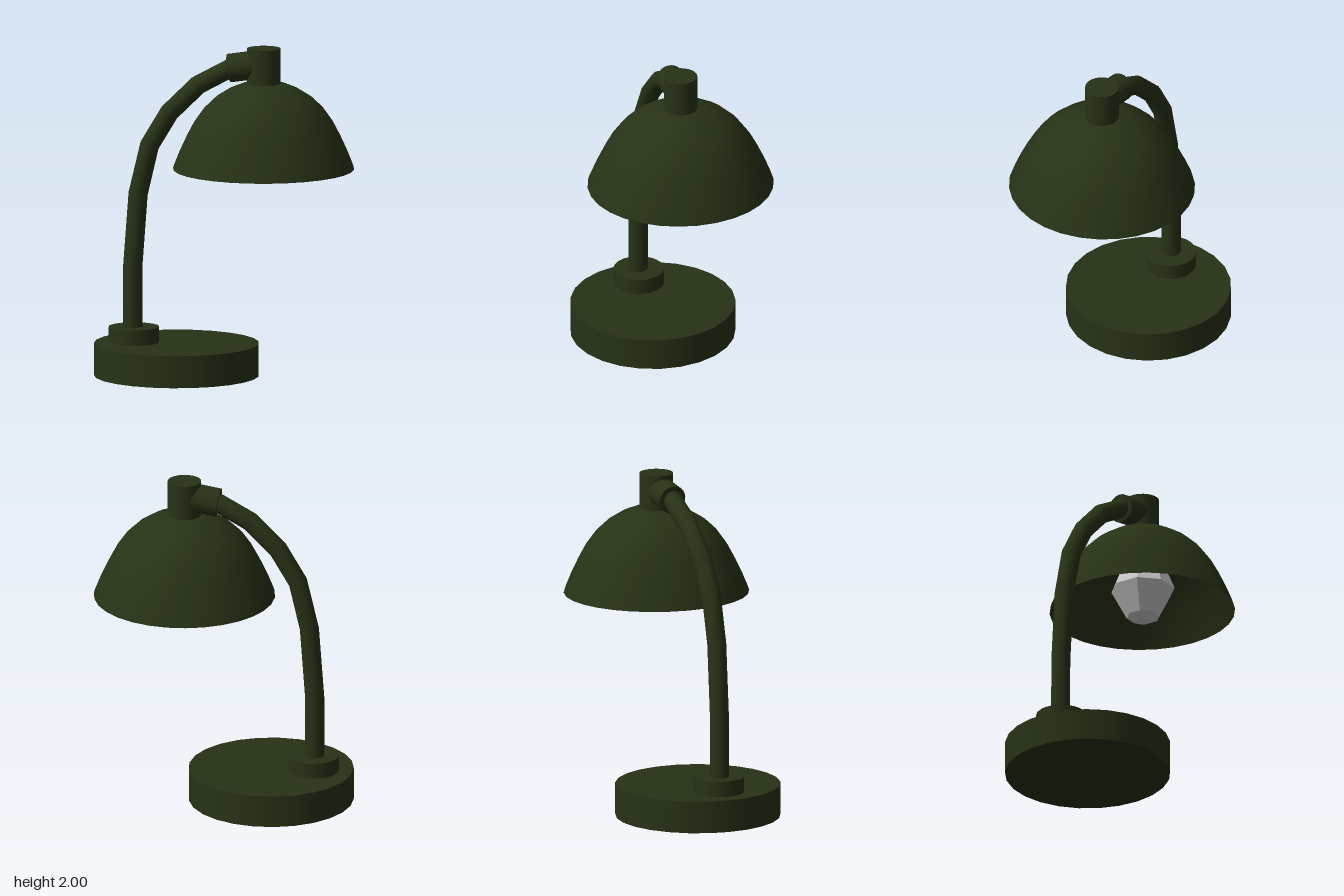
import * as THREE from 'three';

const green = new THREE.MeshStandardMaterial({ color: 0x273216 });
const greenThin = new THREE.MeshStandardMaterial({ color: 0x273216, side: THREE.DoubleSide });
const glass = new THREE.MeshStandardMaterial({ color: 0xcccccc, flatShading: true });
const SHADE_X = 0.237;

const v2 = (list) => list.map(([r, y]) => new THREE.Vector2(r, y));
const v3 = (list) => list.map((p) => new THREE.Vector3(...p));

export function createModel() {
  const lamp = new THREE.Group();
  lamp.name = 'deskLamp';

  function add(name, geometry, material = green, x = 0, y = 0, z = 0) {
    const mesh = new THREE.Mesh(geometry, material);
    mesh.name = name;
    mesh.position.set(x, y, z);
    lamp.add(mesh);
    return mesh;
  }

  // Upright disc standing between two heights
  function disc(name, r, y0, y1, x, z, sides) {
    add(name, new THREE.CylinderGeometry(r, r, y1 - y0, sides), green, x, (y0 + y1) / 2, z);
  }

  // Base and the collar that holds the arm
  disc('base', 0.497, 0, 0.195, -0.29, -0.046, 25);
  disc('armCollar', 0.152, 0.195, 0.29, -0.547, -0.065, 25);

  // Bent arm: one tube ring at each control point
  const path = new THREE.CatmullRomCurve3(v3([
    [-0.555, 0.2, -0.065], [-0.555, 0.65, -0.064], [-0.522, 1.1, -0.062],
    [-0.453, 1.395, -0.057], [-0.333, 1.597, -0.048], [-0.16, 1.768, -0.035],
    [0.04, 1.877, -0.018], [0.12, 1.89, -0.01],
  ]));
  path.getUtoTmapping = (u) => u;
  add('arm', new THREE.TubeGeometry(path, 7, 0.058, 16));

  // Short sleeve joining the arm to the lamp head
  const [from, to] = v3([[0.028, 1.875, -0.02], [SHADE_X - 0.03, 1.902, -0.003]]);
  const along = to.clone().sub(from);
  const sleeve = add('armSleeve', new THREE.CylinderGeometry(0.086, 0.086, along.length(), 24));
  sleeve.position.copy(from).add(to).multiplyScalar(0.5);
  sleeve.quaternion.setFromUnitVectors(new THREE.Vector3(0, 1, 0), along.normalize());

  // Head stem above the shade
  disc('headStem', 0.101, 1.76, 2, SHADE_X, 0, 28);

  // Thin bell shade, slightly narrower across than deep
  const profile = v2([
    [0.563, 1.268], [0.558, 1.285], [0.523, 1.37], [0.478, 1.465], [0.432, 1.55], [0.37, 1.635],
    [0.3, 1.7], [0.215, 1.752], [0.14, 1.782], [0.07, 1.79], [0, 1.79],
  ]);
  const bell = new THREE.LatheGeometry(profile, 30, Math.PI / 30);
  bell.scale(0.968, 1, 1);
  add('shade', bell, greenThin, SHADE_X);

  // Faceted bulb
  const bulb = v2([
    [0, 1.2], [0.045, 1.203], [0.1, 1.232], [0.193, 1.41], [0.1, 1.64], [0.1, 1.77],
  ]);
  add('bulb', new THREE.LatheGeometry(bulb, 8, Math.PI / 8), glass, SHADE_X + 0.008);

  return lamp;
}
